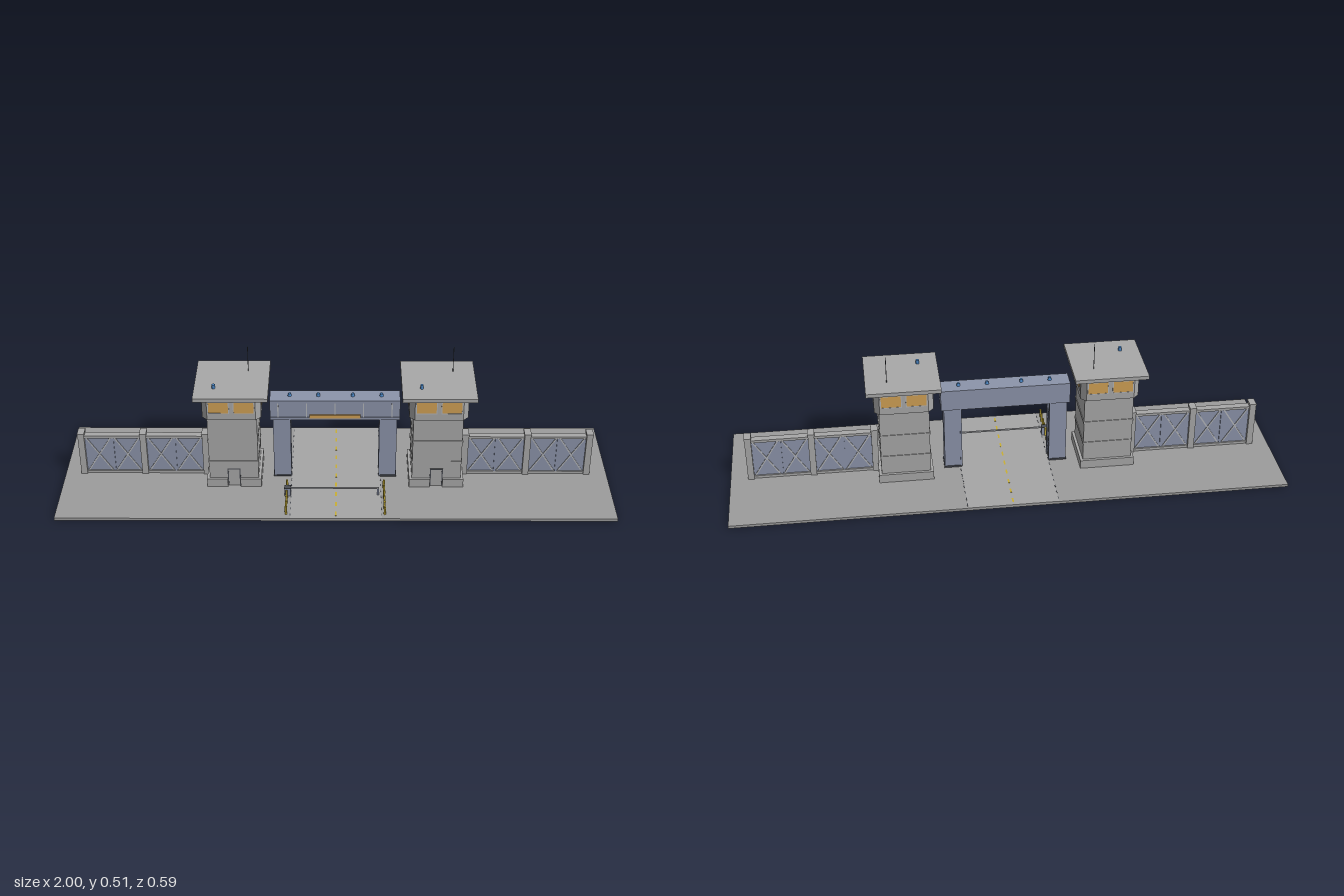
import * as THREE from 'three';

const mat = (name, color) => {
  const m = new THREE.MeshStandardMaterial({ color });
  m.name = name;
  return m;
};

export function createModel() {
  const concrete = mat('concrete', 0xa8a8a8);
  const paving = mat('paving', 0x9c9c9c);
  const road = mat('road', 0xa6a6a6);
  const trim = mat('light trim', 0xb4b6ba);
  const steel = mat('blue steel', 0x8c94aa);
  const amber = mat('amber glass', 0xd0a055);
  const yellow = mat('safety yellow', 0xc8ae35);
  const blue = mat('lamp blue', 0x4b86c4);
  const dark = mat('dark metal', 0x4a4d54);

  const root = new THREE.Group();
  root.name = 'fortifiedGate';

  const group = (parent, name, x = 0) => {
    const g = new THREE.Group();
    g.name = name;
    g.position.x = x;
    parent.add(g);
    return g;
  };
  // Box given by its extents along each axis
  const box = (parent, name, m, [x0, x1], [y0, y1], [z0, z1]) => {
    const mesh = new THREE.Mesh(new THREE.BoxGeometry(x1 - x0, y1 - y0, z1 - z0), m);
    mesh.position.set((x0 + x1) / 2, (y0 + y1) / 2, (z0 + z1) / 2);
    mesh.name = name;
    parent.add(mesh);
    return mesh;
  };
  const cyl = (parent, name, m, r, [y0, y1], x, z, rTop = r) => {
    const mesh = new THREE.Mesh(new THREE.CylinderGeometry(rTop, r, y1 - y0, 12), m);
    mesh.position.set(x, (y0 + y1) / 2, z);
    mesh.name = name;
    parent.add(mesh);
    return mesh;
  };
  const span = (c, half) => [c - half, c + half];

  // Ground, road and road markings
  box(root, 'ground', paving, [-1, 1], [0, 0.01], [-0.293, 0.293]);
  box(root, 'road', road, [-0.163, 0.163], [0.0095, 0.011], [-0.293, 0.293]);
  for (let i = 0; i < 10; i++) {
    box(root, 'laneDash', yellow, span(0, 0.003), [0.0105, 0.0118], span(-0.265 + i * 0.059, 0.012));
  }
  for (const s of [-1, 1]) {
    for (let i = 0; i < 16; i++) {
      box(root, 'edgeDash', dark, span(s * 0.163, 0.0015), [0.0095, 0.0115], span(-0.27 + i * 0.036, 0.006));
    }
  }

  // Framed window on a cab face; the turned group makes +z its outward side
  const addWindow = (cab, turn, u, halfWidth) => {
    const g = group(cab, 'window');
    g.rotation.y = turn;
    box(g, 'windowGlass', amber, span(u, halfWidth), [0.333, 0.377], [0.1, 0.1062]);
    for (const s of [-1, 1]) {
      box(g, 'windowJamb', trim, span(u + s * (halfWidth + 0.0015), 0.0015), [0.33, 0.38], [0.1, 0.107]);
    }
    for (const y of [0.3315, 0.3785]) {
      box(g, 'windowRail', trim, span(u, halfWidth), span(y, 0.0015), [0.1, 0.107]);
    }
  };

  const addTower = (x) => {
    const t = group(root, 'guardTower', x);
    box(t, 'towerShaft', concrete, [-0.089, 0.089], [0.01, 0.305], [-0.089, 0.089]);
    for (const y of [0.115, 0.203]) {
      box(t, 'towerBand', concrete, span(0, 0.0915), span(y, 0.0035), span(0, 0.0915));
    }
    // Plinth, open in front for the doorway
    box(t, 'plinth', concrete, [-0.099, 0.099], [0.01, 0.043], [-0.099, 0.088]);
    for (const s of [-1, 1]) {
      box(t, 'plinthFront', concrete, span(s * 0.061, 0.038), [0.01, 0.043], [0.088, 0.099]);
      box(t, 'doorJamb', dark, span(s * 0.0215, 0.002), [0.01, 0.083], [0.088, 0.0915]);
    }
    box(t, 'doorLintel', dark, [-0.0235, 0.0235], [0.08, 0.084], [0.088, 0.0915]);
    box(t, 'door', concrete, [-0.02, 0.02], [0.01, 0.08], [0.088, 0.0905]);

    // Cab with cut corners
    const a = 0.105, b = 0.086;
    const shape = new THREE.Shape([
      [b, -a], [a, -b], [a, b], [b, a], [-b, a], [-a, b], [-a, -b], [-b, -a],
    ].map(([px, py]) => new THREE.Vector2(px, py)));
    const cabGeo = new THREE.ExtrudeGeometry(shape, { depth: 0.091, bevelEnabled: false });
    cabGeo.rotateX(-Math.PI / 2);
    const cab = new THREE.Mesh(cabGeo, concrete);
    cab.position.y = 0.304;
    cab.name = 'cab';
    t.add(cab);
    for (const turn of [0, Math.PI]) {
      addWindow(t, turn, -0.045, 0.035);
      addWindow(t, turn, 0.045, 0.035);
    }
    for (const turn of [Math.PI / 2, -Math.PI / 2]) addWindow(t, turn, 0, 0.068);

    // Roof slab and its equipment
    box(t, 'roof', concrete, [-0.132, 0.132], [0.394, 0.408], [-0.132, 0.132]);
    cyl(t, 'beacon', blue, 0.006, [0.408, 0.423], -0.062, 0.059);
    cyl(t, 'antenna', dark, 0.0012, [0.408, 0.509], 0.055, -0.058);
  };
  addTower(-0.371);
  addTower(0.365);

  // Gate frame: two columns carrying a deep beam
  const gate = group(root, 'gateFrame', -0.004);
  box(gate, 'beam', steel, [-0.234, 0.234], [0.26, 0.34], [-0.036, 0.032]);
  for (const y of [0.265, 0.335]) {
    box(gate, 'beamFlange', steel, [-0.234, 0.234], span(y, 0.005), [0.03, 0.036]);
  }
  for (const x of [-0.205, -0.102, 0, 0.102, 0.205]) {
    box(gate, 'beamRib', trim, span(x, 0.002), [0.27, 0.33], [0.03, 0.035]);
  }
  box(gate, 'signStrip', amber, [-0.092, 0.092], [0.267, 0.281], [0.032, 0.038]);
  for (const s of [-1, 1]) {
    box(gate, 'column', steel, span(s * 0.194, 0.03), [0.01, 0.262], [-0.03, 0.03]);
    box(gate, 'columnFoot', dark, span(s * 0.194, 0.032), [0.01, 0.016], [-0.033, 0.033]);
    for (const z of [-0.026, 0.026]) {
      box(gate, 'columnEdge', steel, span(s * 0.163, 0.003), [0.01, 0.262], span(z, 0.006));
    }
    // Cross bracing on the inner face of the column
    for (const y of [0.075, 0.195]) {
      for (const tilt of [-1, 1]) {
        const brace = box(gate, 'columnBrace', steel, span(s * 0.1635, 0.002), span(y, 0.06), span(0, 0.002));
        brace.rotation.x = tilt * 0.34;
      }
    }
  }
  for (const x of [-0.163, -0.06, 0.064, 0.167]) {
    cyl(gate, 'gateLamp', blue, 0.007, [0.34, 0.351], x, 0, 0.005);
  }

  // Perimeter fences: posts, sheet bays and crossed braces
  for (const s of [-1, 1]) {
    const f = group(root, 'fence', -0.003);
    const posts = [0.475, 0.702, 0.928];
    for (const p of posts) {
      box(f, 'fencePost', concrete, span(s * p, 0.0115), [0.01, 0.182], span(0, 0.019));
      box(f, 'postCap', concrete, span(s * p, 0.0125), [0.178, 0.186], span(0, 0.021));
    }
    for (let i = 0; i < 2; i++) {
      const c = s * (posts[i] + posts[i + 1]) / 2;
      box(f, 'fenceSheet', steel, span(c, 0.103), [0.01, 0.17], span(0, 0.007));
      for (const y of [0.015, 0.168]) {
        box(f, 'fenceRail', concrete, span(c, 0.103), span(y, 0.005), span(0, 0.013));
      }
      box(f, 'fenceStud', steel, span(c, 0.004), [0.02, 0.163], span(0, 0.011));
      for (const h of [-1, 1]) {
        for (const tilt of [-1, 1]) {
          const brace = box(f, 'fenceBrace', trim, span(c + h * 0.052, 0.0025), span(0.091, 0.083), span(0, 0.0095));
          brace.rotation.z = tilt * 0.56;
        }
      }
    }
  }

  // Bollards along both sides of the approach
  for (const x of [-0.178, 0.174]) {
    for (let i = 0; i < 6; i++) cyl(root, 'bollard', yellow, 0.0038, [0.01, 0.043], x, 0.104 + i * 0.0324);
  }

  // Road barrier
  const barrier = group(root, 'barrier');
  box(barrier, 'barrierCabinet', steel, span(-0.175, 0.011), [0.01, 0.041], span(0.148, 0.009));
  box(barrier, 'cabinetTop', dark, span(-0.175, 0.012), [0.041, 0.044], span(0.148, 0.01));
  box(barrier, 'barrierArm', trim, [-0.165, 0.155], [0.037, 0.042], span(0.148, 0.0025));
  box(barrier, 'armRest', steel, span(0.152, 0.004), [0.01, 0.037], span(0.148, 0.004));

  return root;
}
